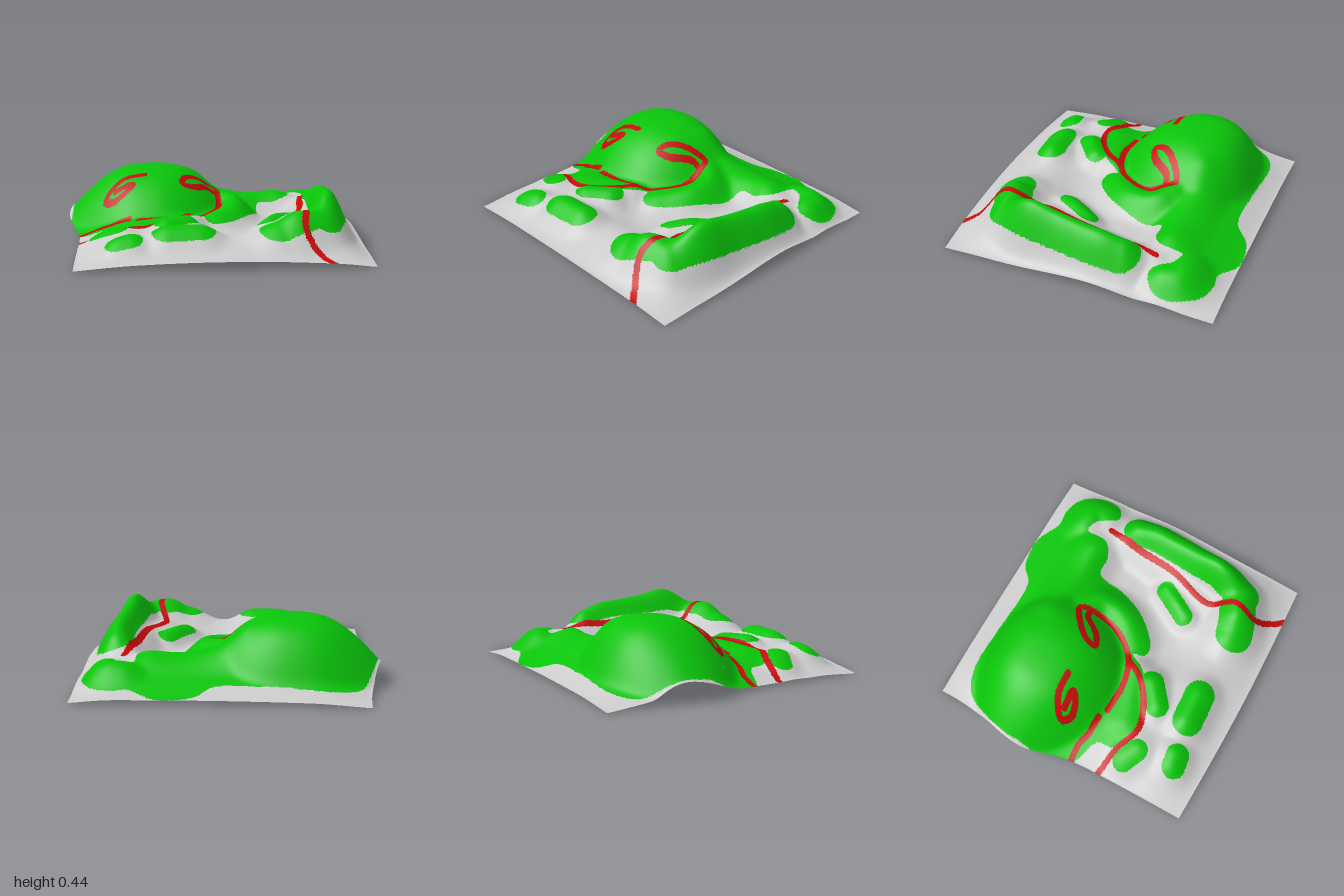
import * as THREE from 'three';

const N = 230; // grid cells per side

// Smooth curve through a few points
const spline = (pts, closed = false) =>
  new THREE.CatmullRomCurve3(pts.map(([x, z, h = 0]) => new THREE.Vector3(x, h, z)), closed, 'centripetal')
    .getPoints(pts.length * 4).map((p) => [p.x, p.z, p.y]);

// Raised strokes: points (x, z, height above ground), green half width, foot radius
const mounds = [
  { pts: [[-0.75, 0.42, 0.05], [-0.65, 0.47, 0.05]], green: 0.075, foot: 0.17 },
  { pts: [[-0.32, 0.45, 0.08], [-0.18, 0.34, 0.08]], green: 0.08, foot: 0.16 },
  { pts: [[-0.63, 0.74, 0.06], [-0.55, 0.73, 0.06]], green: 0.08, foot: 0.17 },
  { pts: [[-0.31, 0.68, 0.09], [-0.11, 0.67, 0.09]], green: 0.105, foot: 0.21 },
  { pts: [[0.36, 0.3, 0.07], [0.42, 0.2, 0.085], [0.48, 0.1, 0.07]], green: 0.065, foot: 0.14 },
  { pts: [[0.4, 0.68, 0.1], [0.5, 0.65, 0.16], [0.57, 0.62, 0.16]], green: 0.13, foot: 0.27 },
  { pts: [[0.79, -0.27, 0.16], [0.8, -0.15, 0.2], [0.79, 0, 0.21], [0.77, 0.2, 0.23], [0.75, 0.4, 0.26], [0.68, 0.6, 0.13]],
    green: 0.125, foot: 0.22 },
  // shoulder along the ridge, under the path
  { pts: [[0.7, -0.45, 0.04], [0.66, -0.2, 0.07], [0.62, 0.1, 0.07], [0.55, 0.4, 0.05]], foot: 0.17 },
  // banks inside the large green area
  { pts: [[0.08, -0.35, 0.12], [0.19, -0.24, 0.1], [0.18, -0.06, 0.095], [0.06, 0.11, 0.06]], foot: 0.19 },
  { pts: [[-0.1, -0.5, 0.18], [0.03, -0.5, 0.12], [0.15, -0.5, 0.085], [0.3, -0.5, 0.065], [0.5, -0.5, 0.08]], foot: 0.25 },
  { pts: [[0.68, -0.7, 0.06], [0.82, -0.67, 0.075], [0.85, -0.58, 0.075]], foot: 0.2 },
  { pts: [[-0.5, 0.31, 0.03], [-0.15, 0.2, 0.06]], foot: 0.18 },
].map((m) => ({ ...m, pts: spline(m.pts) }));

// Floor line of the hollow between the hill and the ridge
const valley = spline([[0.12, 0.3], [0.32, 0.05], [0.45, -0.22]]);

// Outline of the large green area
const woodland = spline([
  [-0.9, 0.12], [-1.02, 0.0], [-0.98, -0.2], [-0.97, -0.4], [-0.9, -0.63], [-0.82, -0.76], [-0.65, -0.83],
  [-0.3, -0.82], [0.08, -0.82], [0.2, -0.92], [0.43, -0.95], [0.61, -0.86], [0.72, -0.87], [0.86, -0.82],
  [0.95, -0.66], [0.93, -0.53], [0.82, -0.47], [0.71, -0.6], [0.62, -0.62], [0.6, -0.46], [0.5, -0.39],
  [0.37, -0.38], [0.34, -0.2], [0.22, 0.05], [0.05, 0.2], [-0.03, 0.19], [-0.06, 0.12], [-0.14, 0.24],
  [-0.35, 0.37], [-0.52, 0.4], [-0.7, 0.33], [-0.72, 0.2],
], true);

// Centre lines of the red paths
const paths = [
  [[-0.95, 0.1], [-0.8, 0.09], [-0.7, 0.12], [-0.57, 0.13]],
  [[-0.5, 0.16], [-0.3, 0.17], [-0.12, 0.12], [-0.02, 0.03], [0.05, -0.09], [0.07, -0.2], [0.04, -0.35],
    [-0.05, -0.31], [-0.18, -0.18], [-0.19, -0.11], [-0.11, -0.14], [0.0, -0.27], [0.05, -0.28]],
  [[-0.9, 0.3], [-0.7, 0.34], [-0.52, 0.41], [-0.35, 0.36], [-0.2, 0.25], [-0.12, 0.12]],
  [[-0.46, -0.16], [-0.62, -0.15], [-0.73, -0.07], [-0.68, -0.02], [-0.58, -0.04], [-0.54, -0.08], [-0.66, -0.08]],
  [[0.7, -0.47], [0.65, -0.2], [0.61, 0.1], [0.52, 0.4], [0.58, 0.58], [0.56, 0.75], [0.63, 0.85], [0.72, 0.95]],
].map((p) => spline(p));

const smooth = (a, b, t) => THREE.MathUtils.smoothstep(t, a, b);
const bell = (t) => Math.exp(-t * t);

// Distance to a polyline, and the height interpolated at the nearest point
function nearest(pts, x, z) {
  let dist = Infinity, height = 0;
  for (let i = 0; i < pts.length - 1; i++) {
    const [ax, az, ah] = pts[i], [bx, bz, bh] = pts[i + 1];
    const dx = bx - ax, dz = bz - az;
    const t = THREE.MathUtils.clamp(((x - ax) * dx + (z - az) * dz) / (dx * dx + dz * dz), 0, 1);
    const d = Math.hypot(x - ax - dx * t, z - az - dz * t);
    if (d < dist) { dist = d; height = ah + (bh - ah) * t; }
  }
  return { dist, height };
}

function inside(poly, x, z) {
  let hit = false;
  poly.forEach(([ax, az], i) => {
    const [bx, bz] = poly[(i + 1) % poly.length];
    if ((az > z) !== (bz > z) && x < ax + ((bx - ax) * (z - az)) / (bz - az)) hit = !hit;
  });
  return hit;
}

// Lopsided rounded hill, the highest part of the land
function dome(x, z) {
  const dx = (x + 0.38) / (x < -0.38 ? 0.66 : 0.5);
  const dz = (z + 0.4) / (z < -0.4 ? 0.41 : 0.55);
  const v = 0.305 * (1 - Math.pow(Math.hypot(dx, dz), 2.6));
  return (v + Math.sqrt(v * v + 0.0004)) / 2;
}

function heightAt(x, z, u, v) {
  // plateau that drops to a gently waved rim, most slowly on the left and at the back
  const inner = smooth(-0.06, 0.21, u) * smooth(-0.03, 0.15, 1 - u)
    * smooth(-0.05, 0.19, v) * smooth(-0.03, 0.17, 1 - v);
  const su = Math.sin(Math.PI * u);
  const rim = 0.045 * su * v * v + 0.05 * u * u * bell((z + 0.05) / 0.42) + 0.015 * su * (1 - v)
    + 0.06 * (1 - u) ** 3 * bell((z + 0.3) / (z < -0.3 ? 0.34 : 0.22));
  const hollow = 0.06 * (1 - smooth(0.05, 0.3, nearest(valley, x, z).dist));
  const ground = 0.005 + 0.14 * inner + rim * (1 - inner) - hollow;
  // soft maximum of all the raised parts
  let sum = dome(x, z) ** 4;
  for (const m of mounds) {
    const { dist, height } = nearest(m.pts, x, z);
    if (dist < m.foot) sum += (height * (1 - smooth(0, m.foot, dist))) ** 4;
  }
  return ground + Math.pow(sum, 0.25) * smooth(-0.06, 0.07, Math.min(u + 0.1, 1 - u, v, 1 - v));
}

// Weathers the heights a little so that the parts flow together
function soften(pos, passes) {
  const W = N + 1, last = (k) => Math.min(k, N);
  for (let p = 0; p < passes; p++) {
    const old = Float32Array.from({ length: W * W }, (_, k) => pos[3 * k + 1]);
    const y = (i, j) => old[last(Math.max(j, 0)) * W + last(Math.max(i, 0))];
    for (let k = 0; k < W * W; k++) {
      const i = k % W, j = (k - i) / W;
      pos[3 * k + 1] = (y(i - 1, j) + y(i + 1, j) + y(i, j - 1) + y(i, j + 1) + y(i, j)) / 5;
    }
  }
}

// 0 ground, 1 vegetation, 2 path
function coverAt(x, z) {
  if (paths.some((p) => nearest(p, x, z).dist < 0.021)) return 2;
  if (inside(woodland, x, z)) return 1;
  return mounds.some((m) => m.green && nearest(m.pts, x, z).dist < m.green) ? 1 : 0;
}

export function createModel() {
  const pos = [];
  for (let j = 0; j <= N; j++) {
    for (let i = 0; i <= N; i++) {
      const u = i / N, v = j / N;
      const z0 = -0.955 + 1.885 * v;
      // the rim bulges on the left beside the hill and slightly at the front
      const left = -0.9 - 0.1 * bell((z0 + 0.28) / (z0 < -0.28 ? 0.33 : 0.25));
      const right = 0.982 + 0.015 * Math.sin(Math.PI * v);
      const x = left + (right - left) * u;
      const z = z0 + 0.025 * Math.sin(Math.PI * u) * v ** 4;
      pos.push(x, heightAt(x, z, u, v), z);
    }
  }
  soften(pos, 12);

  // sort the faces by cover
  const faces = [[], [], []];
  const addFace = (...c) => {
    const mid = (k) => (pos[3 * c[0] + k] + pos[3 * c[1] + k] + pos[3 * c[2] + k]) / 3;
    faces[coverAt(mid(0), mid(2))].push(...c);
  };
  for (let j = 0; j < N; j++) {
    for (let i = 0; i < N; i++) {
      const a = j * (N + 1) + i, b = a + N + 1;
      addFace(a, b, a + 1);
      addFace(b, b + 1, a + 1);
    }
  }

  // one continuous set of normals, shared by the three covers
  const land = new THREE.BufferGeometry();
  land.setAttribute('position', new THREE.Float32BufferAttribute(pos, 3));
  land.setIndex(faces.flat());
  land.computeVertexNormals();

  const group = new THREE.Group();
  group.name = 'terrain';
  const covers = [['ground', 0xcccccc], ['vegetation', 0x0ac40a], ['paths', 0xc40a0a]];
  covers.forEach(([name, color], k) => {
    const geo = new THREE.BufferGeometry();
    geo.setAttribute('position', land.getAttribute('position'));
    geo.setAttribute('normal', land.getAttribute('normal'));
    geo.setIndex(faces[k]);
    const mesh = new THREE.Mesh(geo, new THREE.MeshStandardMaterial({ color, side: THREE.DoubleSide }));
    mesh.name = name;
    group.add(mesh);
  });
  return group;
}
